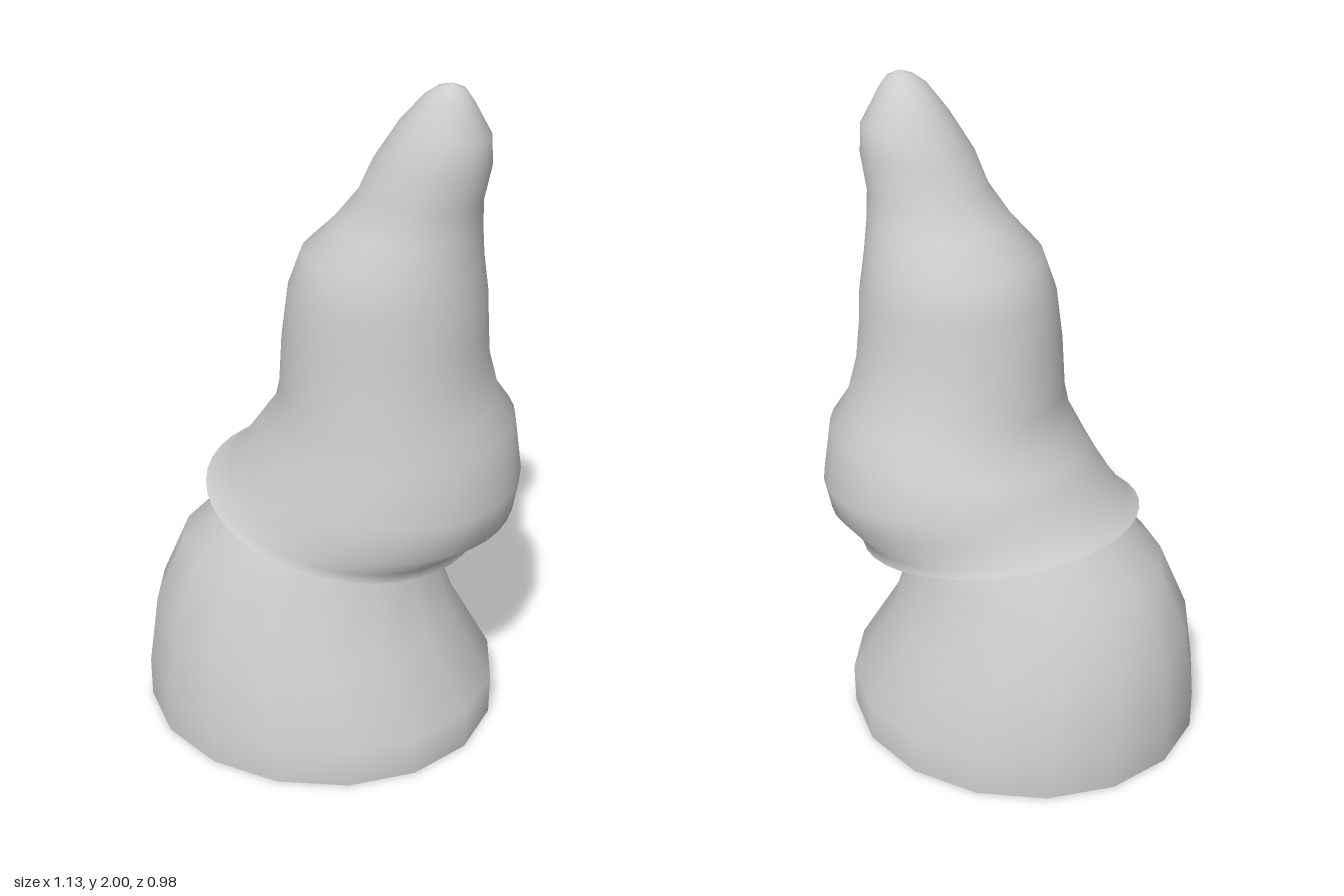
import * as THREE from 'three';

const material = new THREE.MeshStandardMaterial({ color: 0xcccccc, side: THREE.DoubleSide });

// Skins a stack of tilted oval rings, bottom to top.
// Ring: [left x, left y, right x, right y, front z, back z, front-minus-back y]
function loft(rings, sides) {
  const positions = [], index = [];
  rings.forEach(([xl, yl, xr, yr, zf, zb, tilt = 0], j) => {
    for (let i = 0; i < sides; i++) {
      const a = (i / sides) * Math.PI * 2, c = Math.cos(a), s = Math.sin(a);
      positions.push(
        (xl + xr) / 2 + (c * (xr - xl)) / 2,
        (yl + yr) / 2 + (c * (yr - yl)) / 2 + (s * tilt) / 2,
        (zf + zb) / 2 + (s * (zf - zb)) / 2
      );
      if (j < rings.length - 1) {
        const p = j * sides + i, q = j * sides + ((i + 1) % sides);
        index.push(p, p + sides, q, q, p + sides, q + sides);
      }
    }
  });
  const geometry = new THREE.BufferGeometry();
  geometry.setAttribute('position', new THREE.Float32BufferAttribute(positions, 3));
  geometry.setIndex(index);
  geometry.computeVertexNormals();
  return geometry;
}

function addMesh(group, name, geometry) {
  const mesh = new THREE.Mesh(geometry, material);
  mesh.name = name;
  group.add(mesh);
  return mesh;
}

export function createModel() {
  const model = new THREE.Group();
  model.name = 'hattedFigure';

  // Leaning body, its top hidden under the hat
  const bodyRings = [
    [0, -0.57, 0.52, 0.49],
    [0.13, -0.57, 0.52, 0.49],
    [0.35, -0.54, 0.39, 0.42],
    [0.56, -0.45, 0.32, 0.345],
    [0.72, -0.28, 0.29, 0.28],
    [0.86, -0.1, 0.27, 0.19],
    [0.95, 0.09, 0.1, 0.005],
  ].map(([y, xl, xr, z]) => [xl, y, xr, y, z, -z]);
  addMesh(model, 'body', loft(bodyRings, 16));

  // Flat underside
  const base = addMesh(model, 'base', new THREE.CircleGeometry(1, 16).rotateX(Math.PI / 2).scale(0.545, 1, 0.49));
  base.position.x = -0.025;

  // Floppy pointed hat, open at the slanted rim
  const hatRings = [
    [-0.38, 0.76, 0.45, 0.62, 0.36, -0.45, -0.07],
    [-0.35, 0.775, 0.455, 0.65, 0.35, -0.44, -0.07],
    [-0.3, 0.82, 0.55, 0.72, 0.36, -0.435, -0.07],
    [-0.25, 0.89, 0.565, 0.82, 0.35, -0.44, -0.05],
    [-0.21, 0.95, 0.54, 1.0, 0.32, -0.4, -0.03],
    [-0.16, 1.02, 0.49, 1.08, 0.305, -0.36],
    [-0.14, 1.1, 0.46, 1.2, 0.29, -0.325],
    [-0.13, 1.25, 0.455, 1.3, 0.27, -0.28],
    [-0.11, 1.4, 0.45, 1.4, 0.265, -0.27],
    [-0.07, 1.51, 0.435, 1.51, 0.24, -0.235],
    [0.02, 1.6, 0.43, 1.6, 0.2, -0.175],
    [0.09, 1.69, 0.43, 1.68, 0.18, -0.14],
    [0.13, 1.78, 0.45, 1.78, 0.175, -0.12],
    [0.2, 1.89, 0.445, 1.86, 0.145, -0.095],
    [0.265, 1.965, 0.4, 1.95, 0.1, -0.02],
    [0.3, 1.99, 0.375, 1.985, 0.07, 0.005],
    [0.339, 2, 0.341, 2, 0.041, 0.039],
  ];
  addMesh(model, 'hat', loft(hatRings, 40));

  return model;
}
